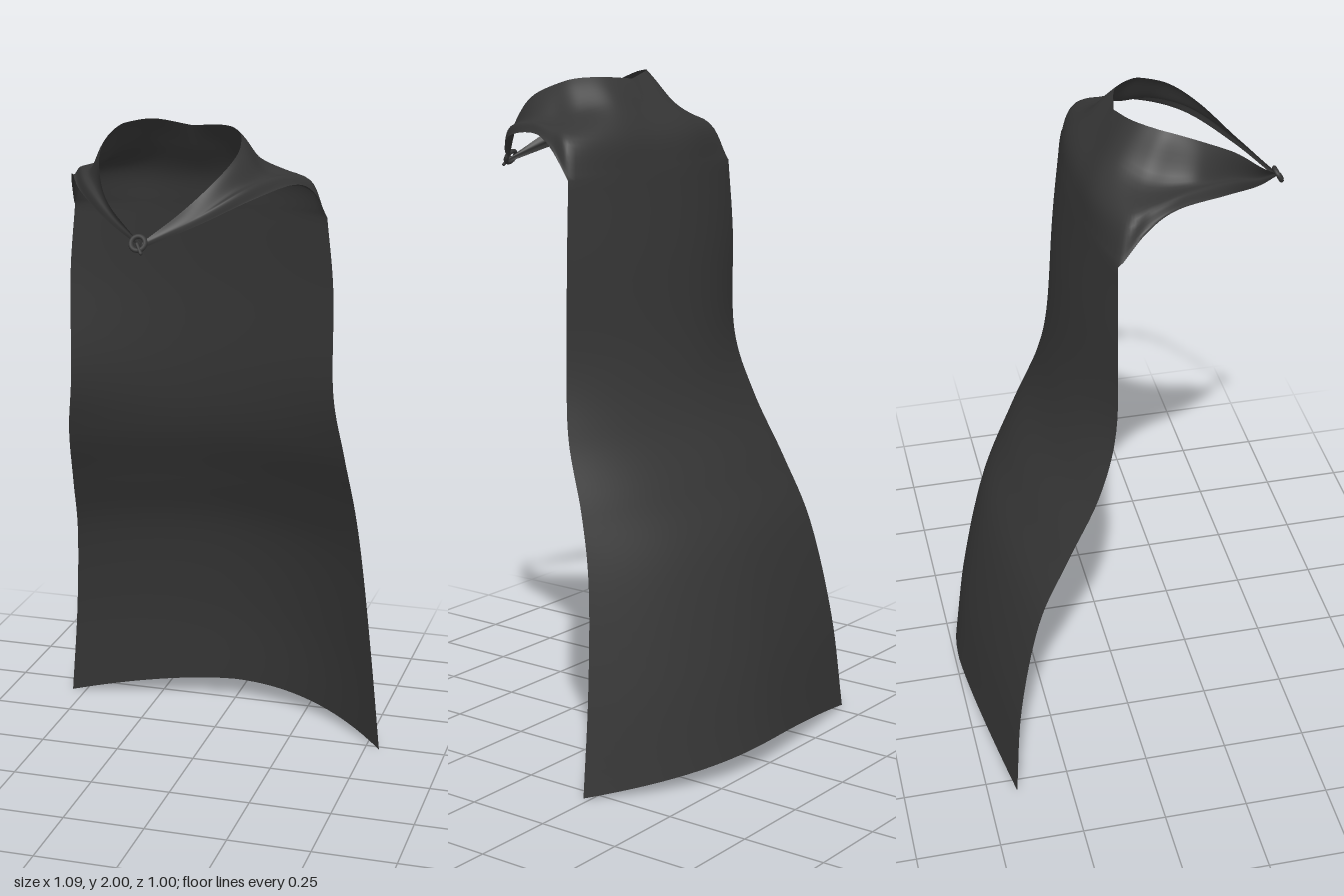
import * as THREE from 'three';
import { mergeGeometries, mergeVertices } from 'three/addons/utils/BufferGeometryUtils.js';

const cloth = new THREE.MeshStandardMaterial({ color: 0x363636, side: THREE.DoubleSide });
const V = (p) => new THREE.Vector3(...p);
const spline = (pts) => new THREE.CatmullRomCurve3(pts.map(V), false, 'catmullrom', 0.5);

// Grid surface: point(c, r) for columns 0..cols and rows 0..rows
function loft(cols, rows, point) {
  const pos = [], index = [];
  for (let r = 0; r <= rows; r++)
    for (let c = 0; c <= cols; c++) pos.push(...point(c, r).toArray());
  for (let r = 0; r < rows; r++)
    for (let c = 0; c < cols; c++) {
      const a = r * (cols + 1) + c, b = a + cols + 1;
      index.push(a, a + 1, b, a + 1, b + 1, b);
    }
  const g = new THREE.BufferGeometry();
  g.setAttribute('position', new THREE.Float32BufferAttribute(pos, 3));
  g.setIndex(index);
  return g;
}

// Hanging sheet: [half width, height, z at the spine] from shoulders to hem
const spine = spline([
  [0.385, 1.72, -0.118], [0.405, 1.5, -0.145], [0.41, 1.2, -0.175], [0.44, 1.0, -0.22],
  [0.465, 0.8, -0.31], [0.485, 0.6, -0.395], [0.515, 0.3, -0.46], [0.545, 0, -0.497],
]);
// z of the side edges along the same stations: [left, right, 0]
const edges = spline([
  [-0.06, -0.065, 0], [-0.07, -0.07, 0], [-0.07, -0.075, 0], [-0.1, -0.13, 0],
  [-0.165, -0.23, 0], [-0.205, -0.32, 0], [-0.225, -0.385, 0], [-0.23, -0.412, 0],
]);
function sheetPoint(u, t) {
  const s = spine.getPoint(t), e = edges.getPoint(t), a = Math.abs(u);
  const edgeZ = u > 0 ? e.x : e.y;
  const power = u > 0 ? 2.2 : 2.2 - 0.8 * t;
  return new THREE.Vector3(
    u * s.x,
    s.y + 0.068 * t * t * (1 - a ** 1.7),
    s.z + (edgeZ - s.z) * a ** power,
  );
}

// Yoke guide lines from the middle of the back, around the shoulder, to the clasp
const rimLeft = spline([
  [0, 1.98, 0.01], [0.1, 1.988, 0.035], [0.155, 1.985, 0.09], [0.182, 1.97, 0.14],
  [0.193, 1.935, 0.22], [0.16, 1.88, 0.3], [0.085, 1.8, 0.39], [0, 1.728, 0.48],
]);
const rimRight = spline([
  [0, 1.98, 0.01], [0.1, 1.998, 0.035], [0.158, 1.995, 0.09], [0.182, 1.985, 0.14],
  [0.193, 1.955, 0.22], [0.178, 1.905, 0.31], [0.125, 1.82, 0.4], [0.01, 1.728, 0.48],
]);
const neckFold = spline([
  [0, 1.91, -0.035], [0.13, 1.92, -0.025], [0.212, 1.9, 0.035], [0.236, 1.885, 0.1],
  [0.242, 1.88, 0.19], [0.2, 1.852, 0.285], [0.112, 1.785, 0.395], [0, 1.722, 0.482],
]);
const shoulderFold = spline([
  [0, 1.82, -0.095], [0.185, 1.825, -0.088], [0.338, 1.822, -0.035], [0.33, 1.842, 0.04],
  [0.295, 1.855, 0.14], [0.23, 1.838, 0.28], [0.122, 1.775, 0.393], [0, 1.717, 0.482],
]);
const freeEdge = spline([
  [0.385, 1.72, -0.06], [0.364, 1.805, 0.02], [0.328, 1.84, 0.11],
  [0.25, 1.82, 0.265], [0.13, 1.765, 0.388], [0, 1.712, 0.48],
]);

const PER = 8;             // columns between neighbouring stations
const KEYS = 7, BACK = 2;  // stations per side, the first two span the back

function yokePoint(key, v) {
  const k = Math.abs(key), side = Math.sign(key) || 1, t = k / KEYS;
  const mirror = (p) => p.setX(p.x * side);
  const outer = k <= BACK ? sheetPoint(key / BACK, 0)
    : mirror(freeEdge.getPoint((k - BACK) / (KEYS - BACK)));
  const rib = new THREE.CatmullRomCurve3([
    mirror((side > 0 ? rimLeft : rimRight).getPoint(t)),
    mirror(neckFold.getPoint(t)),
    mirror(shoulderFold.getPoint(t)),
    outer,
  ]);
  const p = rib.getPoint(v);
  // soft gathers running from the clasp over the shoulder
  p.y += 0.006 * Math.sin(v * Math.PI * 4) * Math.sin(t * Math.PI) ** 2;
  return p;
}

export function createModel() {
  const model = new THREE.Group();
  model.name = 'cape';

  // Yoke and hanging sheet share the shoulder line and are welded smooth
  const yoke = loft(2 * KEYS * PER, 20, (c, r) => yokePoint(c / PER - KEYS, r / 20));
  const sheet = loft(2 * BACK * PER, 56, (c, r) => sheetPoint(c / (BACK * PER) - 1, r / 56));
  const fabric = mergeVertices(mergeGeometries([yoke, sheet]), 1e-4);
  fabric.computeVertexNormals();
  const body = new THREE.Mesh(fabric, cloth);
  body.name = 'capeFabric';
  model.add(body);

  // Clasp: a small ring with a short pin hanging from it
  const clasp = new THREE.Group();
  clasp.name = 'clasp';
  clasp.position.set(-0.01, 1.726, 0.484);
  clasp.rotation.x = -0.5;
  const ring = new THREE.Mesh(new THREE.TorusGeometry(0.02, 0.007, 8, 20), cloth);
  ring.name = 'claspRing';
  const pin = new THREE.Mesh(new THREE.CapsuleGeometry(0.005, 0.03, 4, 8), cloth);
  pin.name = 'claspPin';
  pin.position.set(0.006, -0.016, 0.004);
  pin.rotation.z = 0.5;
  clasp.add(ring, pin);
  model.add(clasp);

  return model;
}
